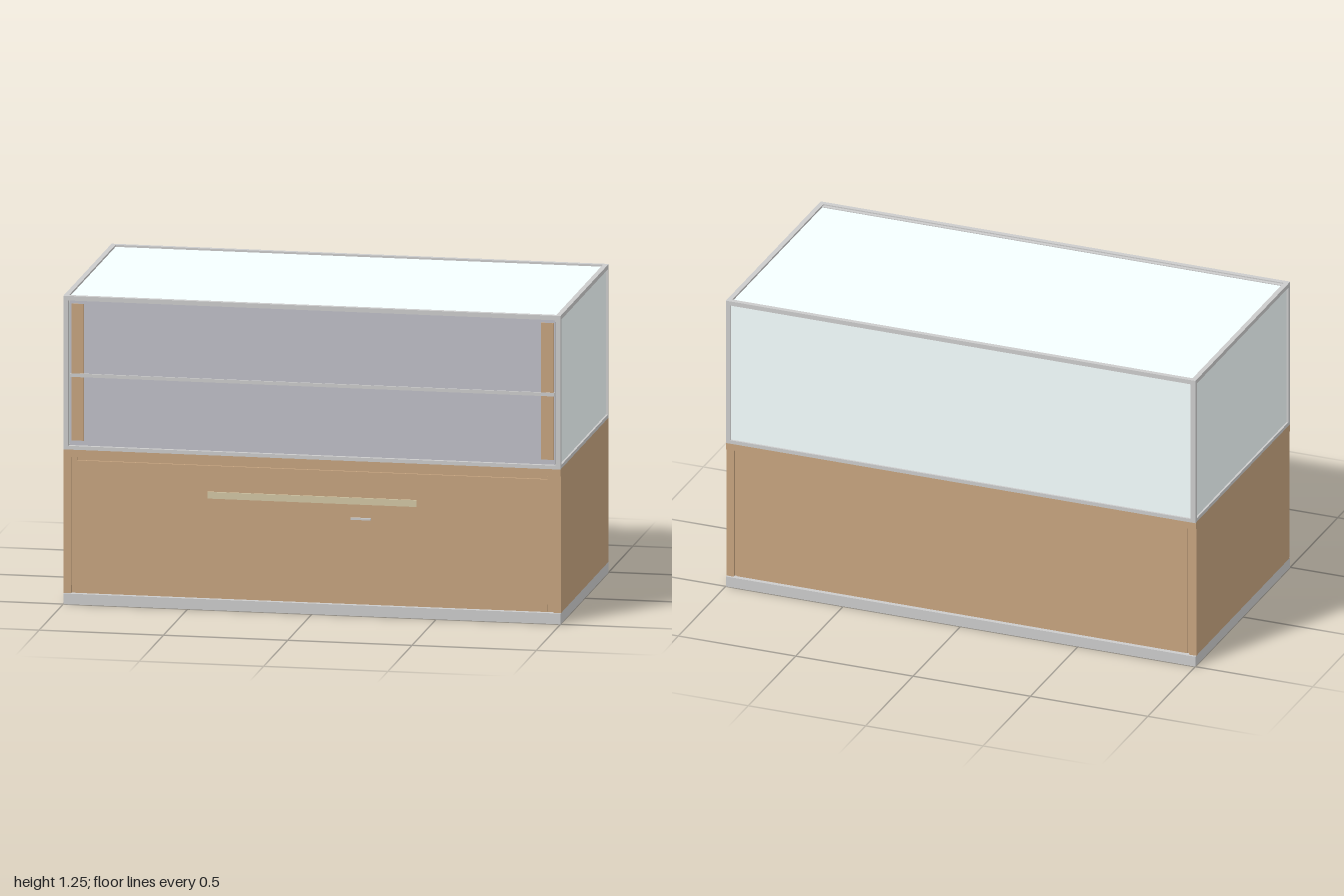
import * as THREE from 'three';

export function createModel() {
  const model = new THREE.Group();
  model.name = 'displayCounter';
  const mat = (color) => new THREE.MeshStandardMaterial({ color });
  const grey = mat(0xcccccc);
  const wood = mat(0xc6a47f);
  const glass = mat(0xf5ffff);
  const tinted = mat(0xbfbfc7);
  const brass = mat(0xd2c6a4);

  // Box given by its lower and upper limits on each axis
  function box(name, material, x0, x1, y0, y1, z0, z1, parent = model) {
    const mesh = new THREE.Mesh(new THREE.BoxGeometry(x1 - x0, y1 - y0, z1 - z0), material);
    mesh.position.set((x0 + x1) / 2, (y0 + y1) / 2, (z0 + z1) / 2);
    mesh.name = name;
    parent.add(mesh);
    return mesh;
  }
  // Same box on both sides of x = 0
  function pair(name, material, x0, x1, ...rest) {
    box(name + 'Left', material, x0, x1, ...rest);
    box(name + 'Right', material, -x1, -x0, ...rest);
  }

  // Plinth and wooden cabinet
  box('plinth', grey, -1, 1, 0, 0.043, -0.5, 0.5);
  pair('cabinetSide', wood, 0.97, 1, 0.043, 0.625, -0.49, 0.49);
  box('cabinetCore', wood, -0.97, 0.97, 0.043, 0.6, -0.478, 0.478);
  box('cabinetTop', wood, -1, 1, 0.595, 0.625, -0.495, 0.495);

  // Drawer front with its side strips, bar handle and lock
  box('drawerFront', wood, -0.945, 0.945, 0.045, 0.58, 0.47, 0.488);
  pair('drawerStrip', wood, 0.945, 0.97, 0.075, 0.592, 0.47, 0.484);
  box('handle', brass, -0.42, 0.42, 0.45, 0.477, 0.493, 0.5);
  for (const x of [-0.35, 0.35]) {
    box('handleMount', brass, x - 0.01, x + 0.01, 0.457, 0.47, 0.486, 0.495);
  }
  box('lock', grey, 0.155, 0.235, 0.387, 0.395, 0.486, 0.497);

  // Back panel
  box('backPanel', wood, -0.96, 0.96, 0.045, 0.592, -0.485, -0.47);

  // Metal frame of the showcase: corner posts, then rails at top and bottom
  for (const z of [-0.49, 0.49]) {
    pair('cornerPost', grey, 0.98, 1, 0.625, 1.245, z - 0.01, z + 0.01);
    box('lowerRail', grey, -0.98, 0.98, 0.625, 0.64, z - 0.01, z + 0.01);
    box('upperRail', grey, -0.98, 0.98, 1.227, 1.245, z - 0.01, z + 0.01);
  }
  pair('lowerSideRail', grey, 0.98, 1, 0.625, 0.64, -0.48, 0.48);
  pair('upperSideRail', grey, 0.98, 1, 1.227, 1.245, -0.48, 0.48);
  box('innerFrontRail', grey, -0.98, 0.98, 1.215, 1.24, 0.465, 0.48);

  // Panes, set slightly inside the frame
  box('topGlass', glass, -0.98, 0.98, 1.227, 1.237, -0.48, 0.465);
  box('backGlass', glass, -0.98, 0.98, 0.635, 1.23, -0.492, -0.484);
  pair('sideGlass', glass, 0.982, 0.992, 0.635, 1.23, -0.48, 0.48);
  box('frontPane', tinted, -0.975, 0.975, 0.63, 1.23, 0.476, 0.484);

  // Shelf edge and wooden uprights at the front
  box('shelfEdge', grey, -0.975, 0.975, 0.917, 0.931, 0.47, 0.491);
  pair('lowerUpright', wood, 0.92, 0.97, 0.66, 0.917, 0.47, 0.488);
  pair('upperUpright', wood, 0.92, 0.97, 0.931, 1.212, 0.47, 0.488);

  return model;
}
